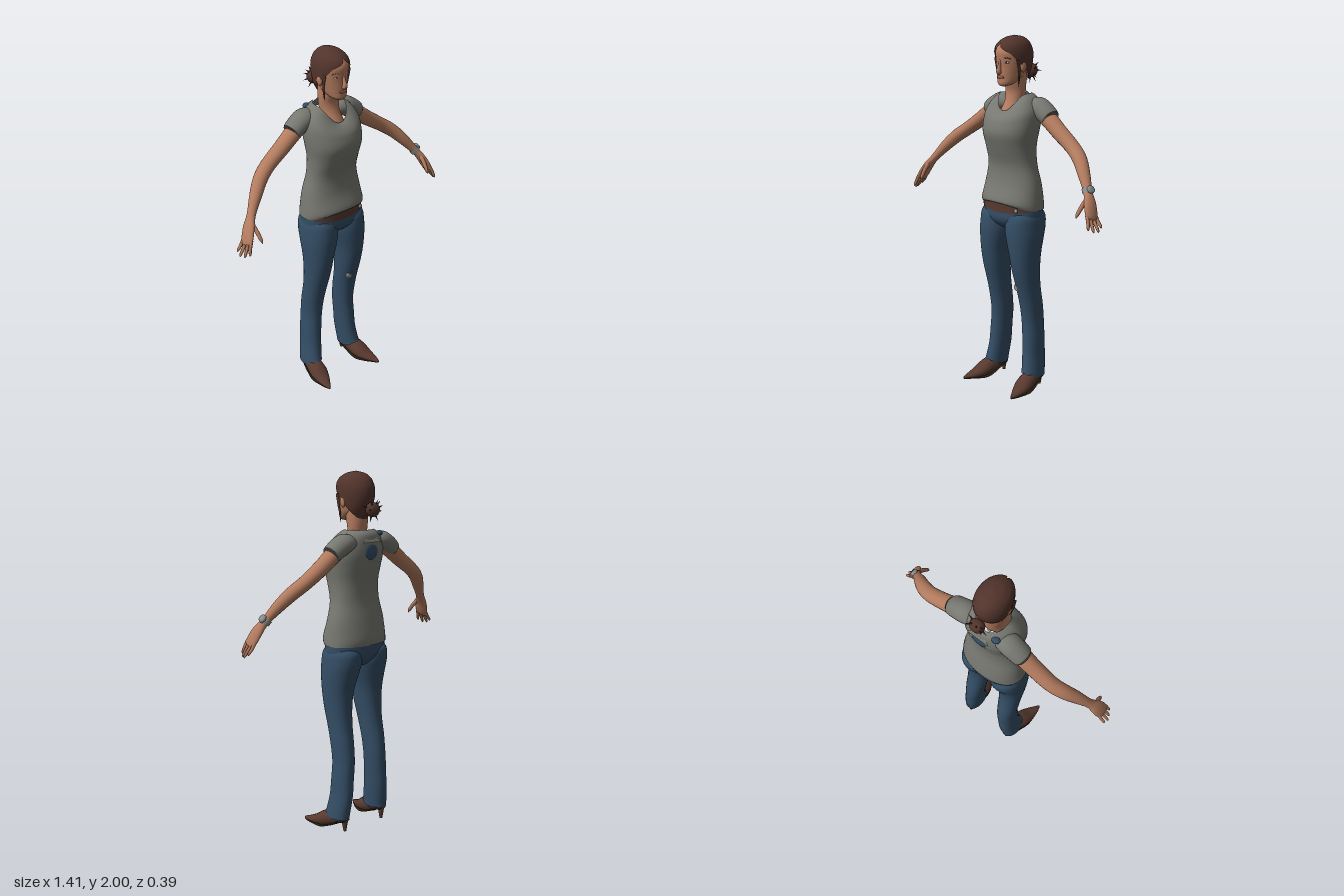
import * as THREE from 'three';

const mat = (name, color, side = THREE.FrontSide) => {
  const m = new THREE.MeshStandardMaterial({ color, side });
  m.name = name;
  return m;
};

// Smooth a list of number rows with a Catmull-Rom spline
function smooth(rows, sub) {
  const out = [], n = rows.length;
  const width = Math.max(...rows.map(r => r.length));
  const at = (i, k) => rows[Math.min(n - 1, Math.max(0, i))][k] ?? 0;
  for (let i = 0; i < n - 1; i++) {
    for (let s = 0; s < sub; s++) {
      const t = s / sub, row = [];
      for (let k = 0; k < width; k++) {
        const a = at(i - 1, k), b = at(i, k), c = at(i + 1, k), d = at(i + 2, k);
        row.push(b + 0.5 * t * (c - a + t * (2 * a - 5 * b + 4 * c - d + t * (3 * (b - c) + d - a))));
      }
      out.push(row);
    }
  }
  out.push(Array.from({ length: width }, (_, k) => at(n - 1, k)));
  return out;
}

// Skin a grid of rings; closed rings share their seam vertex
function skinRings(rings, closed) {
  const n = rings[0].length, pos = [], idx = [];
  rings.forEach(r => r.forEach(p => pos.push(p.x, p.y, p.z)));
  for (let i = 0; i < rings.length - 1; i++) {
    for (let j = 0; j < (closed ? n : n - 1); j++) {
      const a = i * n + j, b = i * n + (j + 1) % n;
      idx.push(a, b, b + n, a, b + n, a + n);
    }
  }
  const g = new THREE.BufferGeometry();
  g.setAttribute('position', new THREE.Float32BufferAttribute(pos, 3));
  g.setIndex(idx);
  g.computeVertexNormals();
  return g;
}

// Upright loft, bottom to top. Row: y, centre x, half width, front z, back z, front rise, front opening angle
function loft(rows, { sub = 4, seg = 32, power = 1, open = false } = {}) {
  const bend = v => Math.sign(v) * Math.abs(v) ** power;
  return skinRings(smooth(rows, sub).map(([y, cx, rx, zf, zb, rise = 0, gap = 0]) => {
    const ring = [];
    for (let j = 0; j < seg; j++) {
      const a = open ? gap + j / (seg - 1) * 2 * (Math.PI - gap) : j / seg * 2 * Math.PI;
      const c = Math.cos(a);
      ring.push(new THREE.Vector3(
        cx + Math.max(0, rx) * bend(Math.sin(a)),
        y + rise * Math.max(0, c) ** 2,
        (zf + zb) / 2 + (zf - zb) / 2 * bend(c)));
    }
    return ring;
  }), !open);
}

// Limb along a path. Row: x, y, z, radius along ref, radius across
function limb(rows, { sub = 4, seg = 16, ref = new THREE.Vector3(0, 0, 1) } = {}) {
  const fine = smooth(rows, sub), pts = fine.map(r => new THREE.Vector3(r[0], r[1], r[2]));
  return skinRings(fine.map((r, i) => {
    const t = pts[Math.min(i + 1, pts.length - 1)].clone().sub(pts[Math.max(i - 1, 0)]).normalize();
    const a = ref.clone().addScaledVector(t, -ref.dot(t)).normalize();
    const b = t.clone().cross(a);
    return Array.from({ length: seg }, (_, j) => {
      const f = j / seg * 2 * Math.PI;
      return pts[i].clone().addScaledVector(a, Math.max(0, r[3]) * Math.cos(f))
        .addScaledVector(b, Math.max(0, r[4]) * Math.sin(f));
    });
  }), true);
}

export function createModel() {
  const model = new THREE.Group();
  model.name = 'woman';
  const skin = mat('skin', 0xb47c5f), hair = mat('hair', 0x52342c, THREE.DoubleSide);
  const shirt = mat('shirt grey', 0x777871), denim = mat('denim', 0x344e66);
  const leather = mat('brown leather', 0x58392f), sole = mat('dark sole', 0x2a2512);
  const metal = mat('pale grey', 0x8a8d8c), white = mat('eye white', 0xc9c4bb);
  const dark = mat('pupil', 0x1c1a1a), lip = mat('lip', 0x99604e);
  const flap = mat('shirt grey', 0x777871, THREE.DoubleSide);

  const add = (name, geometry, material, parent = model) => {
    const m = new THREE.Mesh(geometry, material);
    m.name = name;
    parent.add(m);
    return m;
  };
  const blob = (name, material, p, s) => {
    const m = add(name, new THREE.SphereGeometry(1, 20, 14), material);
    m.position.set(...p);
    m.scale.set(...s);
    return m;
  };

  // Shirt body with scooped neck and raised front hem
  add('shirtBody', loft([
    [1.06, 0, .195, .114, -.143, .035], [1.10, 0, .192, .125, -.146, .012], [1.2, 0, .178, .095, -.13],
    [1.3, 0, .155, .088, -.112], [1.4, 0, .152, .118, -.113], [1.48, 0, .162, .14, -.13],
    [1.55, 0, .167, .128, -.145, -.01], [1.61, 0, .16, .11, -.146, -.04],
    [1.665, 0, .125, .085, -.14, -.075], [1.69, 0, .085, .062, -.115, -.09],
  ], { seg: 48, power: .9 }), shirt);
  add('collarFlap', new THREE.BufferGeometry().setFromPoints([
    new THREE.Vector3(0, 1.69, -.118), new THREE.Vector3(.07, 1.625, -.152), new THREE.Vector3(-.07, 1.625, -.152),
  ]), flap).geometry.computeVertexNormals();
  blob('backPatch', denim, [0, 1.575, -.141], [.047, .045, .01]);
  blob('shoulderPatch', denim, [-.085, 1.667, -.112], [.024, .014, .02]);

  // Hips and belt
  add('hips', loft([
    [.925, 0, 0, -.01, -.01], [.935, 0, .05, .04, -.07], [.965, 0, .15, .085, -.11],
    [1.0, 0, .185, .106, -.132], [1.04, 0, .19, .108, -.137], [1.08, 0, .188, .107, -.137],
  ], { seg: 40, power: .9 }), denim);
  add('belt', loft([[1.062, 0, .19, .111, -.139, -.02], [1.11, 0, .188, .112, -.139, 0]],
    { seg: 40, power: .9 }), leather);
  blob('buckle', metal, [.125, 1.065, .092], [.012, .012, .008]);

  // Neck and upper chest
  add('neck', loft([
    [1.55, 0, .075, .085, -.05], [1.6, 0, .062, .054, -.07], [1.65, 0, .054, .028, -.08],
    [1.7, 0, .058, .018, -.085], [1.75, 0, .06, .03, -.09], [1.8, 0, .06, .03, -.09],
  ]), skin);

  // Head and face
  add('head', loft([
    [1.731, 0, 0, .06, .05], [1.736, 0, .025, .078, .03], [1.75, 0, .047, .086, -.01], [1.775, 0, .062, .086, -.06],
    [1.80, 0, .07, .087, -.09], [1.84, 0, .078, .087, -.1], [1.88, 0, .083, .09, -.11],
    [1.92, 0, .083, .09, -.11], [1.96, 0, .065, .06, -.09], [1.985, 0, .03, .01, -.05],
  ]), skin);
  add('nose', limb([
    [0, 1.80, .086, 0, 0], [0, 1.806, .092, .01, .014], [0, 1.817, .097, .014, .014],
    [0, 1.84, .091, .012, .009], [0, 1.875, .083, .008, .006], [0, 1.885, .08, 0, 0],
  ]), skin);
  blob('mouth', lip, [0, 1.783, .084], [.025, .008, .008]);

  // Hair cap, narrowing around the face to the nape
  add('hairCap', loft([
    [1.745, 0, .05, .03, -.09, 0, 2.4], [1.79, 0, .078, .06, -.11, 0, 1.9], [1.83, 0, .088, .085, -.126, 0, 1.55],
    [1.87, 0, .091, .098, -.136, 0, 1.1], [1.91, 0, .09, .101, -.137, 0, .75], [1.94, 0, .083, .097, -.128, 0, .2],
    [1.965, 0, .07, .077, -.112, 0, 0], [1.988, 0, .042, .035, -.08, 0, 0], [2.0, 0, 0, -.022, -.024, 0, 0],
  ], { seg: 40, open: true }), hair);
  blob('hairBun', hair, [0, 1.8, -.15], [.042, .04, .036]);
  for (let i = 0; i < 11; i++) {
    const a = i * 2.4, len = .05 + .012 * (i % 3);
    const dir = new THREE.Vector3(Math.cos(a), Math.sin(a), -.5 + .35 * (i % 3)).normalize();
    const tuft = add('bunTuft', new THREE.ConeGeometry(.011, len, 5), hair);
    tuft.position.set(0, 1.8, -.15).addScaledVector(dir, .038);
    tuft.quaternion.setFromUnitVectors(new THREE.Vector3(0, 1, 0), dir);
  }

  for (const s of [1, -1]) {
    const side = s > 0 ? 'left' : 'right';
    const flip = rows => rows.map(([x, ...rest]) => [x * s, ...rest]);
    const limbOn = (name, rows, material, opt) => add(side + name, limb(flip(rows), opt), material);

    // Eye, brow, ear and loose strand
    blob(side + 'Eye', white, [s * .037, 1.864, .07], [.015, .007, .008]);
    blob(side + 'Pupil', dark, [s * .037, 1.864, .075], [.006, .0065, .005]);
    limbOn('Brow', [[.018, 1.882, .084, .003, .003], [.038, 1.889, .077, .003, .004], [.058, 1.882, .062, .002, .002]],
      hair, { seg: 6, ref: new THREE.Vector3(0, 1, 0) });
    blob(side + 'Ear', skin, [s * .082, 1.838, -.008], [.012, .03, .019]);
    limbOn('Strand', [[.084, 1.88, .035, .012, .006], [.084, 1.82, .025, .009, .005], [.077, 1.77, .02, .006, .004],
      [.074, 1.72, .022, 0, 0]], hair, { seg: 6 });

    // Sleeve, arm and hand
    limbOn('Sleeve', [[.07, 1.615, -.075, .045, .035], [.13, 1.622, -.072, .063, .053], [.18, 1.6, -.07, .062, .054],
      [.224, 1.571, -.068, .057, .049], [.226, 1.57, -.068, .046, .042]], shirt, { seg: 24 });
    limbOn('Arm', [
      [.12, 1.615, -.068, .048, .044], [.2, 1.575, -.067, .05, .045], [.3, 1.503, -.063, .046, .042],
      [.4, 1.437, -.055, .043, .038], [.47, 1.387, -.032, .04, .037], [.53, 1.325, .003, .034, .032],
      [.59, 1.25, .04, .025, .022], [.625, 1.2, .062, .038, .02], [.65, 1.15, .08, .042, .017],
      [.663, 1.122, .088, .032, .011], [.666, 1.117, .09, 0, 0],
    ], skin, { seg: 20 });
    [[.697, 1.075, .055], [.702, 1.06, .082], [.692, 1.06, .107], [.677, 1.073, .13]].forEach(([x, y, z], i) => {
      const bz = .052 + i * .021;
      limbOn('Finger', [[.65, 1.15, bz, .009, .009], [.672 - i * .002, 1.112, (bz + z) / 2, .009, .009],
        [x - .003, y + .012, z, .007, .007], [x, y, z, 0, 0]], skin, { seg: 8 });
    });
    limbOn('Thumb', [[.612, 1.22, .07, .014, .012], [.608, 1.18, .11, .012, .011], [.604, 1.145, .136, .009, .009],
      [.602, 1.127, .146, 0, 0]], skin, { seg: 8 });

    // Trouser leg
    add(side + 'TrouserLeg', loft([
      [.072, s * .148, .052, .052, -.105, .035], [.1, s * .146, .052, .045, -.108, .02], [.2, s * .135, .05, .03, -.12],
      [.3, s * .129, .052, .022, -.12], [.4, s * .122, .053, .02, -.12], [.5, s * .12, .058, .032, -.108],
      [.6, s * .117, .063, .055, -.09], [.7, s * .115, .07, .082, -.083], [.8, s * .112, .079, .1, -.09],
      [.9, s * .103, .094, .11, -.115], [.96, s * .098, .098, .11, -.132], [1.02, s * .098, .092, .1, -.132],
      [1.06, s * .095, .07, .07, -.1],
    ], { power: .92 }), denim);

    // Pointed ankle boot with a slim heel
    const foot = [
      [.145, .085, -.1, 0, 0], [.145, .085, -.094, .026, .028], [.147, .083, -.05, .038, .04],
      [.155, .067, 0, .047, .045], [.164, .045, .06, .043, .051], [.175, .03, .11, .028, .042],
      [.187, .021, .16, .016, .024], [.193, .017, .193, .009, .008], [.194, .016, .2, 0, 0],
    ];
    const up = new THREE.Vector3(0, 1, 0);
    limbOn('Boot', foot, leather, { ref: up, seg: 20 });
    limbOn('Sole', foot.map(([x, y, z, h, w]) => [x, y - h + .005, z, Math.min(.006, h), w * .95]), sole, { ref: up });
    add(side + 'BootShaft', loft([[.06, s * .15, .045, .06, -.09], [.1, s * .148, .044, .04, -.09],
      [.15, s * .146, .042, .025, -.09]], { seg: 20 }), leather);
    add(side + 'Heel', new THREE.CylinderGeometry(.02, .008, .07, 12), leather).position.set(s * .145, .035, -.084);
  }

  // Worn patches on the knees
  blob('leftKneePatch', metal, [.09, .605, .043], [.026, .022, .011]);
  for (const [dx, dy, w, h] of [[0, .005, .016, .002], [0, -.006, .014, .002], [-.005, 0, .002, .016], [.006, 0, .002, .015]])
    blob('rightKneeStitch', metal, [-.115 + dx, .62 + dy, .05], [w, h, .004]);

  // Wristwatch on the left arm
  add('watchStrap', limb([[.582, 1.261, .035, .031, .028], [.598, 1.239, .045, .031, .028]], { seg: 20 }), metal);
  const dial = [.018, .033, .034].map((d, i) => [.59 + d * .84, 1.25 + d * .54, .04, [.022, .02, 0][i], [.022, .02, 0][i]]);
  add('watchDial', limb(dial, { sub: 2 }), metal);

  return model;
}
